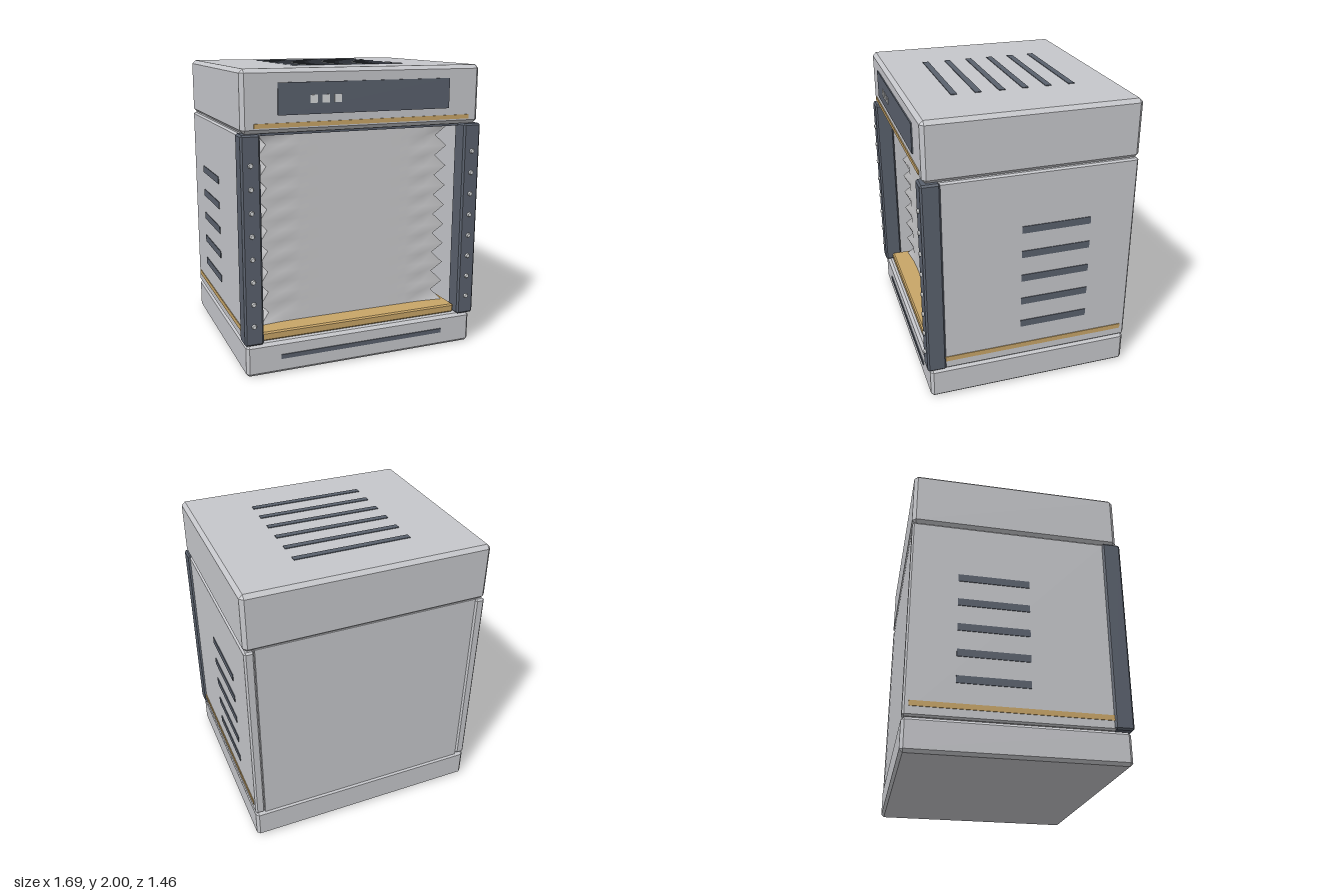
import * as THREE from 'three';
import { ConvexGeometry } from 'three/addons/geometries/ConvexGeometry.js';

const mat = (name, color) => {
  const m = new THREE.MeshStandardMaterial({ color });
  m.name = name;
  return m;
};

// Box from min/max ranges with all edges cut by a flat chamfer c
function chamferBox([x0, x1], [y0, y1], [z0, z1], c) {
  const pts = [];
  const lo = [x0, y0, z0], hi = [x1, y1, z1];
  for (let corner = 0; corner < 8; corner++) {
    for (let axis = 0; axis < 3; axis++) {
      const p = [0, 1, 2].map((i) => {
        const inset = i === axis ? 0 : c;
        return corner & (1 << i) ? hi[i] - inset : lo[i] + inset;
      });
      pts.push(new THREE.Vector3(...p));
    }
  }
  return new ConvexGeometry(pts);
}

function plainBox([x0, x1], [y0, y1], [z0, z1]) {
  return new THREE.BoxGeometry(x1 - x0, y1 - y0, z1 - z0)
    .translate((x0 + x1) / 2, (y0 + y1) / 2, (z0 + z1) / 2);
}

// Pleated bag: zigzag sides whose folds fade out towards the middle of the front
function bellowsGeometry() {
  const w = 0.655, rows = 18, y0 = 0.285, y1 = 1.572, zBack = -0.6, zFront = 0.52;
  const g = new THREE.BoxGeometry(2 * w, y1 - y0, zFront - zBack, 10, rows, 4)
    .translate(0, (y0 + y1) / 2, (zBack + zFront) / 2);
  const p = g.attributes.position;
  for (let i = 0; i < p.count; i++) {
    const row = Math.round(((p.getY(i) - y0) / (y1 - y0)) * rows);
    const fold = row % 2 ? -0.033 : 0.033;
    const t = p.getX(i) / w;
    const fade = Math.abs(t) ** 10;
    p.setX(i, p.getX(i) + Math.sign(t) * fold * fade);
    if (p.getZ(i) > zFront - 0.01) p.setZ(i, p.getZ(i) + fold * 0.6 * fade);
  }
  g.computeVertexNormals();
  return g;
}

export function createModel() {
  const body = mat('light grey shell', 0xc6c7cb);
  const slate = mat('slate trim', 0x5a616d);
  const gold = mat('gold trim', 0xc8a567);
  const cloth = mat('pale bellows', 0xcbcbcd);
  const lamp = mat('pale indicator', 0xd6d8da);

  const model = new THREE.Group();
  model.name = 'cabinet';
  const add = (name, geometry, material) => {
    const mesh = new THREE.Mesh(geometry, material);
    mesh.name = name;
    model.add(mesh);
    return mesh;
  };

  // Shell
  add('base', chamferBox([-0.835, 0.835], [0, 0.22], [-0.73, 0.7], 0.02), body);
  add('head', chamferBox([-0.835, 0.835], [1.6, 1.995], [-0.73, 0.7], 0.025), body);
  add('backPanel', plainBox([-0.765, 0.765], [0.215, 1.605], [-0.72, -0.69]), body);

  // Bellows with its sill and top rail
  add('bellows', bellowsGeometry(), cloth);
  add('sill', chamferBox([-0.72, 0.72], [0.225, 0.285], [0.42, 0.665], 0.01), gold);
  add('topRail', plainBox([-0.7, 0.7], [1.584, 1.61], [0.42, 0.665]), slate);

  // Walls, posts, studs, vents and trim on both sides
  const studGeometry = new THREE.CylinderGeometry(0.013, 0.018, 0.014, 8).rotateX(Math.PI / 2);
  for (const [side, s] of [['left', 1], ['right', -1]]) {
    const xr = (a, b) => (s > 0 ? [a, b] : [-b, -a]);
    add(side + 'Wall', chamferBox(xr(0.768, 0.835), [0.222, 1.598], [-0.727, 0.61], 0.012), body);
    add(side + 'Post', chamferBox(xr(0.72, 0.847), [0.226, 1.6], [0.592, 0.72], 0.012), slate);
    add(side + 'Trim', plainBox(xr(0.83, 0.84), [0.285, 0.32], [-0.69, 0.595]), gold);
    for (let i = 0; i < 5; i++) {
      const y = 0.48 + i * 0.18;
      add(side + 'Vent', plainBox(xr(0.83, 0.84), [y - 0.025, y + 0.025], [-0.41, 0.065]), slate);
    }
    for (let i = 0; i < 8; i++) {
      add(side + 'Stud', studGeometry, lamp).position.set(s * 0.785, 0.36 + i * 0.15, 0.725);
    }
  }

  // Front details
  add('controlPanel', plainBox([-0.6, 0.6], [1.71, 1.91], [0.699, 0.708]), slate);
  for (const x of [-0.365, -0.285, -0.203]) {
    add('indicator', plainBox([x - 0.025, x + 0.025], [1.78, 1.83], [0.707, 0.713]), lamp);
  }
  add('headTrim', plainBox([-0.755, 0.755], [1.635, 1.663], [0.699, 0.707]), gold);
  add('baseSlot', plainBox([-0.6, 0.6], [0.1, 0.13], [0.699, 0.707]), slate);

  // Roof vents
  for (let i = 0; i < 6; i++) {
    const z = -0.418 + i * 0.16;
    add('roofVent', plainBox([-0.4, 0.4], [1.992, 2], [z - 0.021, z + 0.021]), slate);
  }
  return model;
}
